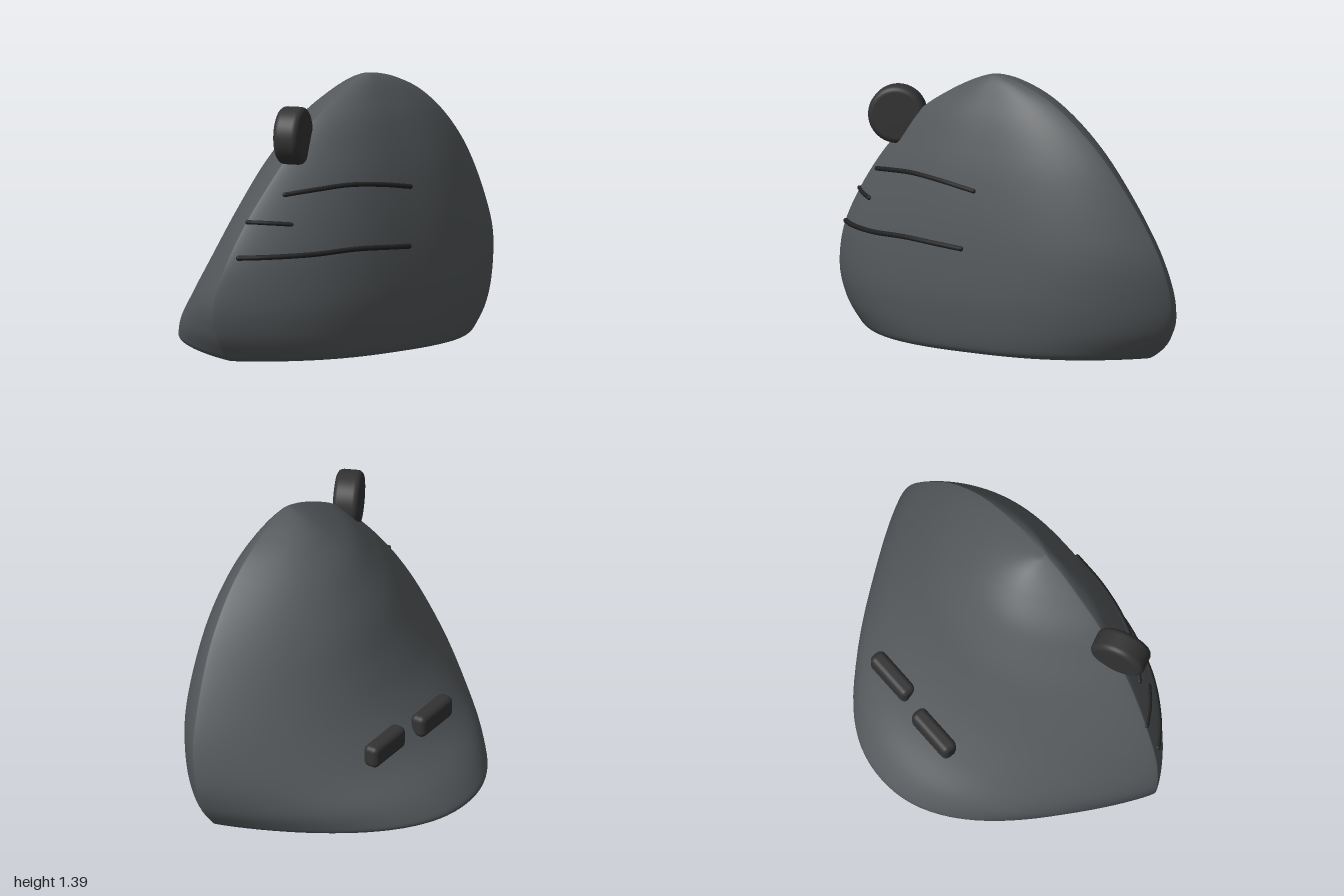
import * as THREE from 'three';
import { RoundedBoxGeometry } from 'three/addons/geometries/RoundedBoxGeometry.js';

// Horizontal sections, bottom to top: y, thumb side x, finger side x, ridge x, front z, back z
const SECTIONS = [
  [0, -0.66, 0.59, 0.24, 0.8, -0.8],
  [0.012, -0.685, 0.62, 0.245, 0.86, -0.86],
  [0.05, -0.675, 0.64, 0.25, 0.9, -0.9],
  [0.15, -0.6, 0.66, 0.26, 0.965, -0.965],
  [0.3, -0.45, 0.675, 0.27, 1, -0.998],
  [0.5, -0.31, 0.67, 0.31, 0.95, -0.97],
  [0.7, -0.21, 0.65, 0.34, 0.84, -0.88],
  [0.9, -0.125, 0.615, 0.37, 0.69, -0.755],
  [1.05, -0.04, 0.575, 0.385, 0.55, -0.635],
  [1.18, 0.05, 0.53, 0.395, 0.41, -0.495],
  [1.28, 0.155, 0.48, 0.395, 0.25, -0.35],
  [1.345, 0.25, 0.44, 0.395, 0.12, -0.2],
  [1.377, 0.33, 0.41, 0.39, 0.035, -0.085],
  [1.386, 0.39, 0.391, 0.39, 0, -0.001],
];
const spline = (o) => new THREE.CatmullRomCurve3(
  SECTIONS.map((s) => new THREE.Vector3(s[o], s[o + 1], s[o + 2])), false, 'catmullrom', 0.5);
const sides = spline(0), depths = spline(3);

// x of the shell at level t; w runs 0 (middle) to 1 (front or back ridge)
function shellX(t, w, finger) {
  const s = sides.getPoint(t), ridge = depths.getPoint(t).x;
  const bulge = Math.pow(Math.max(0, 1 - Math.pow(w, finger ? 2.7 : 2.15)), 0.88);
  return ridge + ((finger ? s.z : s.y) - ridge) * bulge;
}

function shellGeometry(rows = 78, cols = 112) {
  const pos = [], index = [];
  for (let i = 0; i <= rows; i++) {
    const t = i / rows, y = sides.getPoint(t).x, d = depths.getPoint(t);
    for (let j = 0; j < cols; j++) {
      const a = (j / cols) * Math.PI * 2, s = Math.sin(a);
      pos.push(shellX(t, Math.abs(s), Math.cos(a) >= 0), y, (d.y + d.z) / 2 + ((d.y - d.z) / 2) * s);
      if (i < rows) {
        const k = (j + 1) % cols, r = i * cols, u = r + cols;
        index.push(r + j, u + j, r + k, u + j, u + k, r + k);
      }
    }
  }
  const g = new THREE.BufferGeometry();
  g.setAttribute('position', new THREE.Float32BufferAttribute(pos, 3));
  g.setIndex(index);
  g.computeVertexNormals();
  return g;
}

// Flat underside following the lowest section
function baseGeometry() {
  const shape = new THREE.Shape();
  for (let j = 0; j < 112; j++) {
    const a = (j / 112) * Math.PI * 2, s = Math.sin(a);
    const x = shellX(0, Math.abs(s), Math.cos(a) >= 0);
    if (j) shape.lineTo(x, 0.8 * s); else shape.moveTo(x, 0.8 * s);
  }
  return new THREE.ShapeGeometry(shape).rotateX(Math.PI / 2);
}

// Point on the finger side at height y and depth z
function onFingerSide(y, z) {
  let lo = 0, hi = 1;
  for (let i = 0; i < 30; i++) {
    const m = (lo + hi) / 2;
    if (sides.getPoint(m).x < y) lo = m; else hi = m;
  }
  const d = depths.getPoint(lo);
  const w = Math.abs(z - (d.y + d.z) / 2) / ((d.y - d.z) / 2);
  return new THREE.Vector3(shellX(lo, Math.min(1, w), true) + 0.005, y, z);
}

export function createModel() {
  const group = new THREE.Group();
  const mat = (name, color) => Object.assign(new THREE.MeshStandardMaterial({ color }), { name });
  const shellGrey = mat('shellGrey', 0x55595c);
  const buttonGrey = mat('buttonGrey', 0x333333);
  const seamBlack = mat('seamBlack', 0x222222);
  const add = (name, geometry, material, x = 0, y = 0, z = 0) => {
    const m = new THREE.Mesh(geometry, material);
    m.name = name;
    m.position.set(x, y, z);
    group.add(m);
    return m;
  };

  add('shell', shellGeometry(), shellGrey);
  add('base', baseGeometry(), shellGrey);

  // Scroll wheel: disc with rounded rim, set along the front ridge
  const R = 0.145, H = 0.065, B = 0.03, profile = [new THREE.Vector2(0, -H)];
  for (const side of [-1, 1]) {
    for (let i = 0; i <= 6; i++) {
      const a = side * (Math.PI / 2) * (side < 0 ? 1 - i / 6 : i / 6);
      profile.push(new THREE.Vector2(R - B + B * Math.cos(a), side * (H - B) + B * Math.sin(a)));
    }
  }
  profile.push(new THREE.Vector2(0, H));
  const wheel = add('scrollWheel', new THREE.LatheGeometry(profile, 48), buttonGrey, 0.405, 1.13, 0.56);
  wheel.quaternion.setFromUnitVectors(new THREE.Vector3(0, 1, 0), new THREE.Vector3(0.9, 0, -0.43).normalize());

  // Thumb buttons
  for (const [name, x, y, z] of [['frontThumbButton', -0.415, 0.39, 0.085], ['rearThumbButton', -0.378, 0.39, -0.28]]) {
    add(name, new RoundedBoxGeometry(0.085, 0.12, 0.275, 4, 0.03), buttonGrey, x, y, z);
  }

  // Raised seams between the finger buttons: height and depth points
  const seams = [
    ['upperSeam', 0.012, [[0.845, 0.66], [0.865, 0.52], [0.877, 0.35], [0.862, 0.15], [0.832, -0.05]]],
    ['middleSeam', 0.011, [[0.715, 0.83], [0.71, 0.75], [0.702, 0.67]]],
    ['lowerSeam', 0.013, [[0.542, 0.905], [0.545, 0.8], [0.55, 0.6], [0.56, 0.35], [0.55, 0.15], [0.54, 0]]],
  ];
  for (const [name, r, pts] of seams) {
    const path = new THREE.CatmullRomCurve3(pts.map(([y, z]) => onFingerSide(y, z)));
    add(name, new THREE.TubeGeometry(path, 40, r, 10), seamBlack);
    for (const end of [0, 1]) {
      const p = path.getPoint(end);
      add(name + 'End', new THREE.SphereGeometry(r, 10, 8), seamBlack, p.x, p.y, p.z);
    }
  }
  return group;
}
